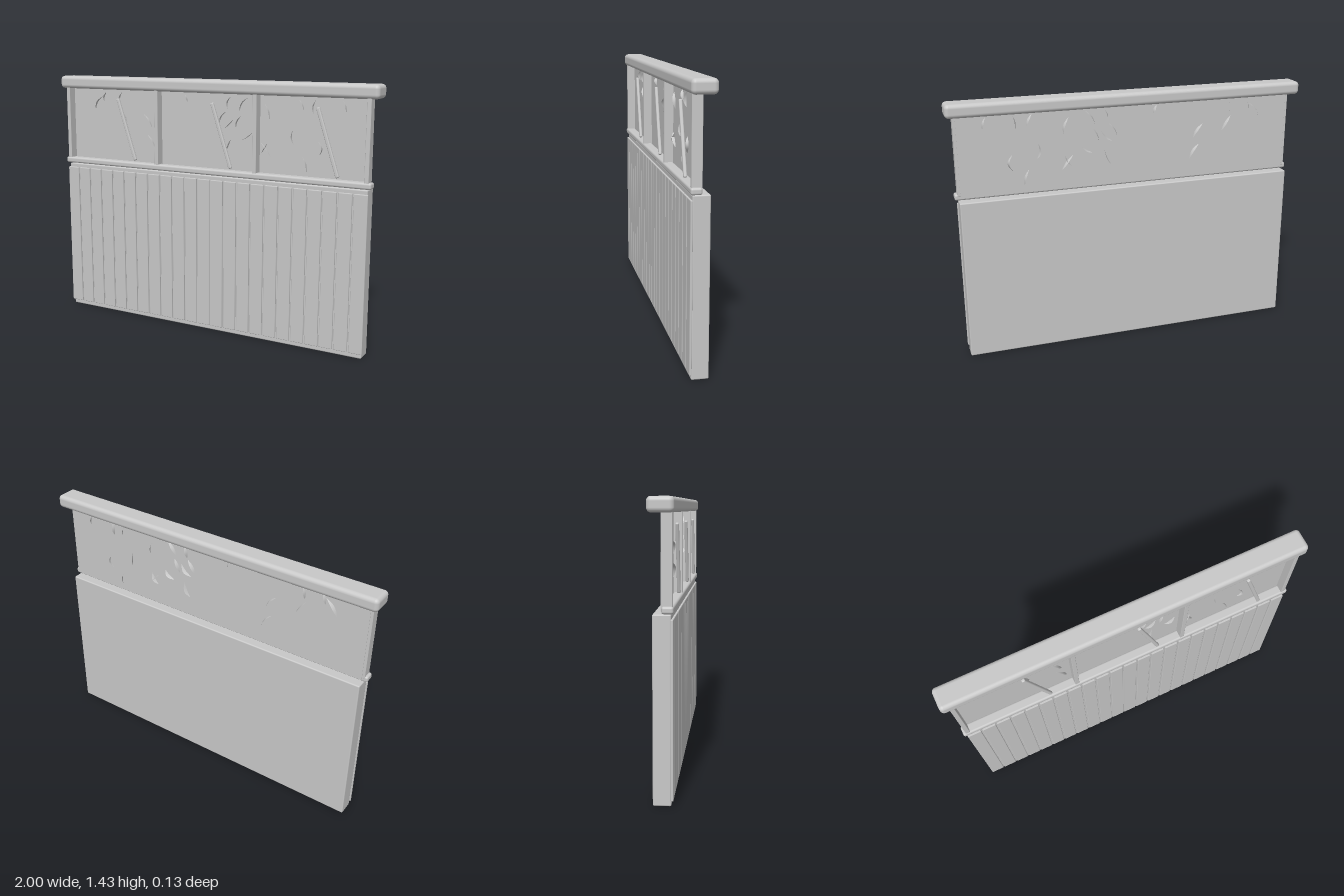
import * as THREE from 'three';
import { RoundedBoxGeometry } from 'three/addons/geometries/RoundedBoxGeometry.js';

const grey = new THREE.MeshStandardMaterial({ color: 0xc8c8c8, side: THREE.DoubleSide });
grey.name = 'plain grey';

// Rounded box given by its min and max along each axis
function block(parent, name, [x0, x1], [y0, y1], [z0, z1], radius, segments = 2) {
  const geo = new RoundedBoxGeometry(x1 - x0, y1 - y0, z1 - z0, segments, radius);
  const mesh = new THREE.Mesh(geo, grey);
  mesh.position.set((x0 + x1) / 2, (y0 + y1) / 2, (z0 + z1) / 2);
  mesh.name = name;
  parent.add(mesh);
  return mesh;
}

// Curved lens-shaped leaf standing across the panel; bend is the sideways bulge
function leaf(x0, y0, x1, y1, bend) {
  const n = 10, halfWidth = 0.021, pos = [], index = [];
  const dx = x1 - x0, dy = y1 - y0, len = Math.hypot(dx, dy);
  const nx = -dy / len, ny = dx / len;
  for (let i = 0; i <= n; i++) {
    const t = i / n, s = Math.sin(Math.PI * t), w = halfWidth * s;
    for (const side of [-1, 0, 1]) {
      const off = bend * s + side * w * 0.2 + (side === 0 ? 0.004 * s : 0);
      pos.push(x0 + dx * t + nx * off, y0 + dy * t + ny * off, side * w);
    }
    if (i < n) {
      for (const k of [0, 1]) {
        const a = i * 3 + k;
        index.push(a, a + 1, a + 3, a + 1, a + 4, a + 3);
      }
    }
  }
  const geo = new THREE.BufferGeometry();
  geo.setAttribute('position', new THREE.Float32BufferAttribute(pos, 3));
  geo.setIndex(index);
  geo.computeVertexNormals();
  const mesh = new THREE.Mesh(geo, grey);
  mesh.name = 'leaf';
  return mesh;
}

// Leaf start, end and bend
const LEAVES = [
  [-0.78, 1.225, -0.705, 1.325, 0.015], [-0.71, 1.28, -0.69, 1.35, 0.005],
  [-0.593, 1.27, -0.58, 1.35, 0.006], [-0.605, 1.26, -0.545, 1.165, 0.008],
  [-0.435, 1.225, -0.37, 1.135, 0.014], [-0.415, 1.11, -0.35, 1.015, 0.014],
  [-0.15, 1.35, -0.13, 1.3, 0.004], [0.075, 1.185, 0.13, 1.27, 0.01],
  [0.1, 1.165, 0.17, 1.23, -0.01], [0.11, 1.03, 0.15, 1.12, -0.008],
  [0.13, 1.27, 0.15, 1.35, 0.008], [0.2, 1.26, 0.265, 1.35, 0.012],
  [0.18, 1.165, 0.22, 1.25, 0.008], [0.215, 1.11, 0.285, 1.16, -0.01],
  [0.345, 1.32, 0.38, 1.22, 0.014], [0.325, 1.11, 0.395, 1.02, 0.006],
  [0.33, 1.04, 0.375, 1.11, -0.008], [0.52, 1.19, 0.53, 1.095, -0.014],
  [0.545, 1.35, 0.58, 1.28, 0.008], [0.57, 1.05, 0.6, 0.955, 0.012],
  [0.64, 1.26, 0.65, 1.35, 0.008], [0.655, 1.14, 0.655, 1.04, 0.03],
  [0.79, 1.35, 0.81, 1.28, 0.008],
];

export function createModel() {
  const model = new THREE.Group();
  model.name = 'partitionWall';

  // Solid lower wall with vertical slats on the front
  block(model, 'lowerWall', [-0.955, 0.955], [0, 0.905], [-0.042, 0.046], 0.007);
  const slats = new THREE.Group();
  slats.name = 'slats';
  model.add(slats);
  const count = 23, pitch = 1.93 / count;
  for (let i = 0; i < count; i++) {
    const x = -0.965 + i * pitch;
    block(slats, 'slat', [x + 0.004, x + pitch - 0.004], [0.026, 0.882], [0.043, 0.056], 0.004, 1);
  }

  // Rail, top cap and thin upper panel
  block(model, 'middleRail', [-0.975, 0.975], [0.908, 0.942], [0.002, 0.058], 0.011, 3);
  block(model, 'topCap', [-1, 1], [1.362, 1.435], [-0.063, 0.063], 0.022, 4);
  block(model, 'upperPanel', [-0.945, 0.945], [0.918, 1.375], [-0.003, 0.005], 0.001, 1);

  // Posts dividing the panel into three bays
  for (const x of [-0.948, -0.315, 0.315, 0.948]) {
    block(model, 'post', [x - 0.012, x + 0.012], [0.93, 1.375], [0, 0.053], 0.003, 1);
  }

  // One slanted bar in each bay
  for (const x of [-0.525, 0.109, 0.733]) {
    const bar = block(model, 'slantedBar', [x - 0.01, x + 0.01], [0.945, 1.32], [0.035, 0.053], 0.006);
    bar.rotation.z = 0.32;
  }

  // Leaves showing on both faces of the panel
  const leaves = new THREE.Group();
  leaves.name = 'leaves';
  for (const l of LEAVES) leaves.add(leaf(...l));
  model.add(leaves);

  return model;
}
